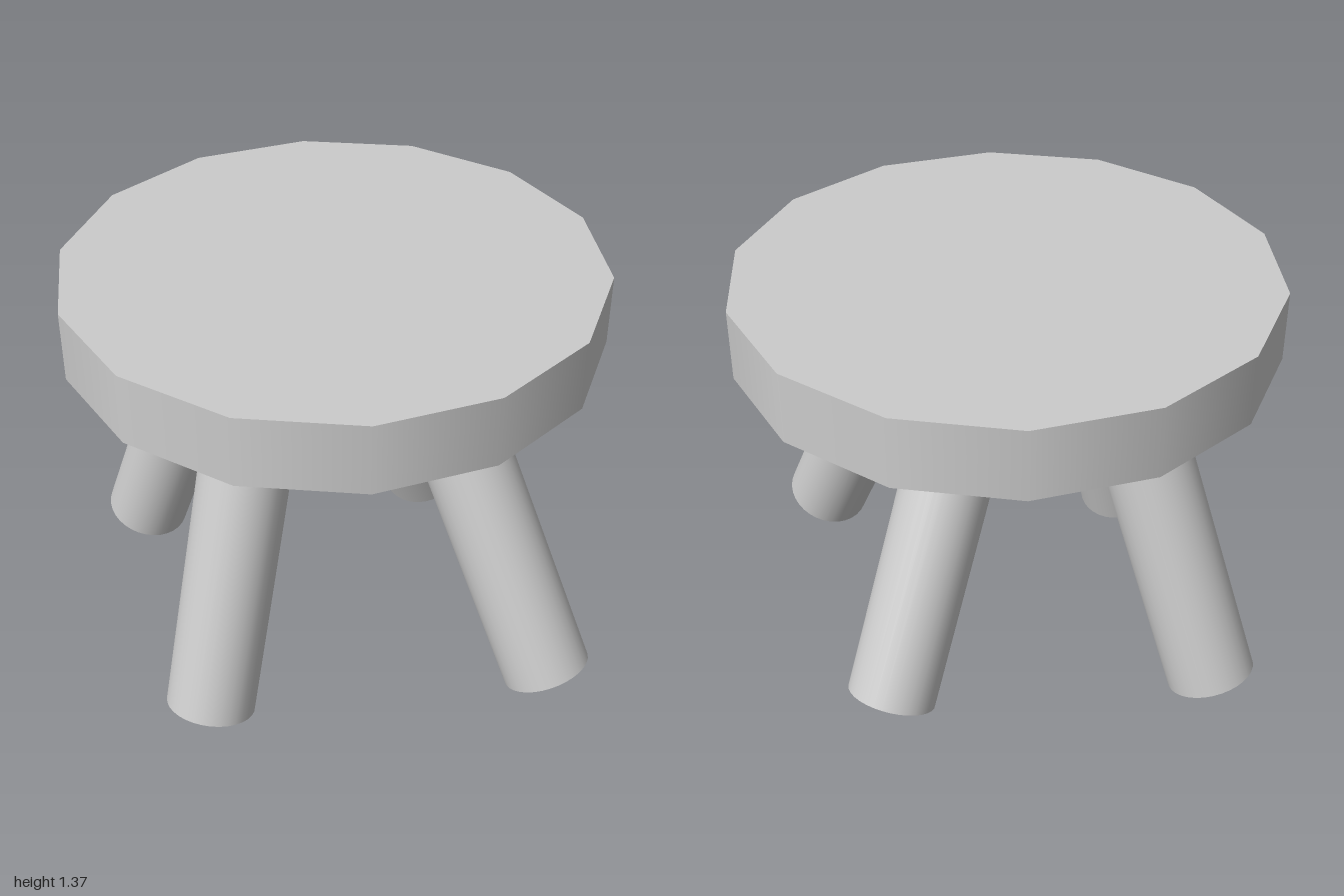
import * as THREE from 'three';

const material = new THREE.MeshStandardMaterial({ color: 0xcccccc });
const tubeMaterial = new THREE.MeshStandardMaterial({ color: 0xcccccc, side: THREE.DoubleSide });
const UP = new THREE.Vector3(0, 1, 0);

// Open round tube running from its foot to its top centre
function makeLeg(name, foot, top) {
  const a = new THREE.Vector3(...foot);
  const b = new THREE.Vector3(...top);
  const axis = b.clone().sub(a);
  const leg = new THREE.Mesh(
    new THREE.CylinderGeometry(0.15, 0.15, axis.length(), 32, 1, true),
    tubeMaterial
  );
  leg.name = name;
  leg.position.copy(a).add(b).multiplyScalar(0.5);
  leg.quaternion.setFromUnitVectors(UP, axis.normalize());
  return leg;
}

export function createModel() {
  const stool = new THREE.Group();
  stool.name = 'stool';

  // Fourteen-sided seat slab, with corners pointing along x
  const seat = new THREE.Mesh(new THREE.CylinderGeometry(0.895, 0.895, 0.24, 14), material);
  seat.name = 'seat';
  seat.rotation.y = Math.PI / 2;
  seat.position.set(-0.03, 1.26, -0.02);
  stool.add(seat);

  // Four splayed legs, each leaning a little differently
  const legs = [
    ['leftLeg', [0.865, 0.088, 0.045], [0.32, 1.18, -0.017]],
    ['rightLeg', [-0.86, 0.06, 0.015], [-0.43, 1.2, 0.012]],
    ['frontLeg', [-0.045, 0.05, 0.75], [-0.045, 1.215, 0.39]],
    ['backLeg', [-0.045, 0.082, -0.715], [-0.045, 1.18, -0.185]],
  ];
  for (const [name, foot, top] of legs) stool.add(makeLeg(name, foot, top));

  return stool;
}
